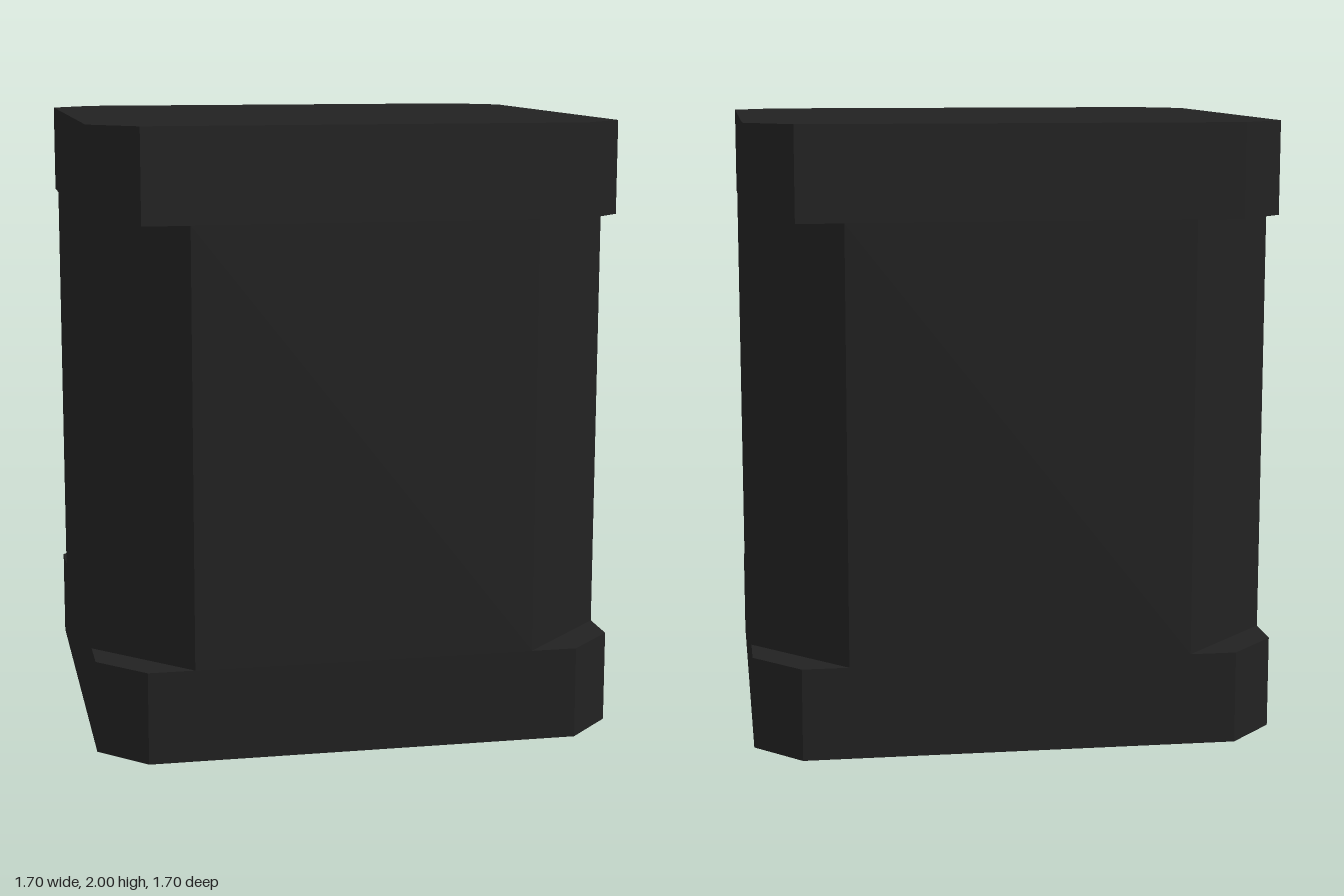
import * as THREE from 'three';

const HALF = 0.85; // half width of the square plan

// Upright square block with its four vertical corners cut off at 45 degrees
function chamferedBlock(name, cut, bottom, top, material) {
  const inner = HALF - cut;
  const shape = new THREE.Shape([
    [inner, -HALF], [HALF, -inner], [HALF, inner], [inner, HALF],
    [-inner, HALF], [-HALF, inner], [-HALF, -inner], [-inner, -HALF],
  ].map(([x, y]) => new THREE.Vector2(x, y)));
  const geometry = new THREE.ExtrudeGeometry(shape, { depth: top - bottom, bevelEnabled: false });
  geometry.rotateX(-Math.PI / 2).translate(0, bottom, 0);
  const mesh = new THREE.Mesh(geometry, material);
  mesh.name = name;
  return mesh;
}

export function createModel() {
  const group = new THREE.Group();
  group.name = 'notchedBlock';

  const charcoal = new THREE.MeshStandardMaterial({ color: 0x222222 });
  charcoal.name = 'charcoal';

  group.add(
    chamferedBlock('baseCap', 0.15, 0, 0.3, charcoal),
    // deeper corner cuts form the four recesses
    chamferedBlock('recessedBody', 0.3, 0.3, 1.7, charcoal),
    chamferedBlock('topCap', 0.15, 1.7, 2, charcoal),
  );
  return group;
}
